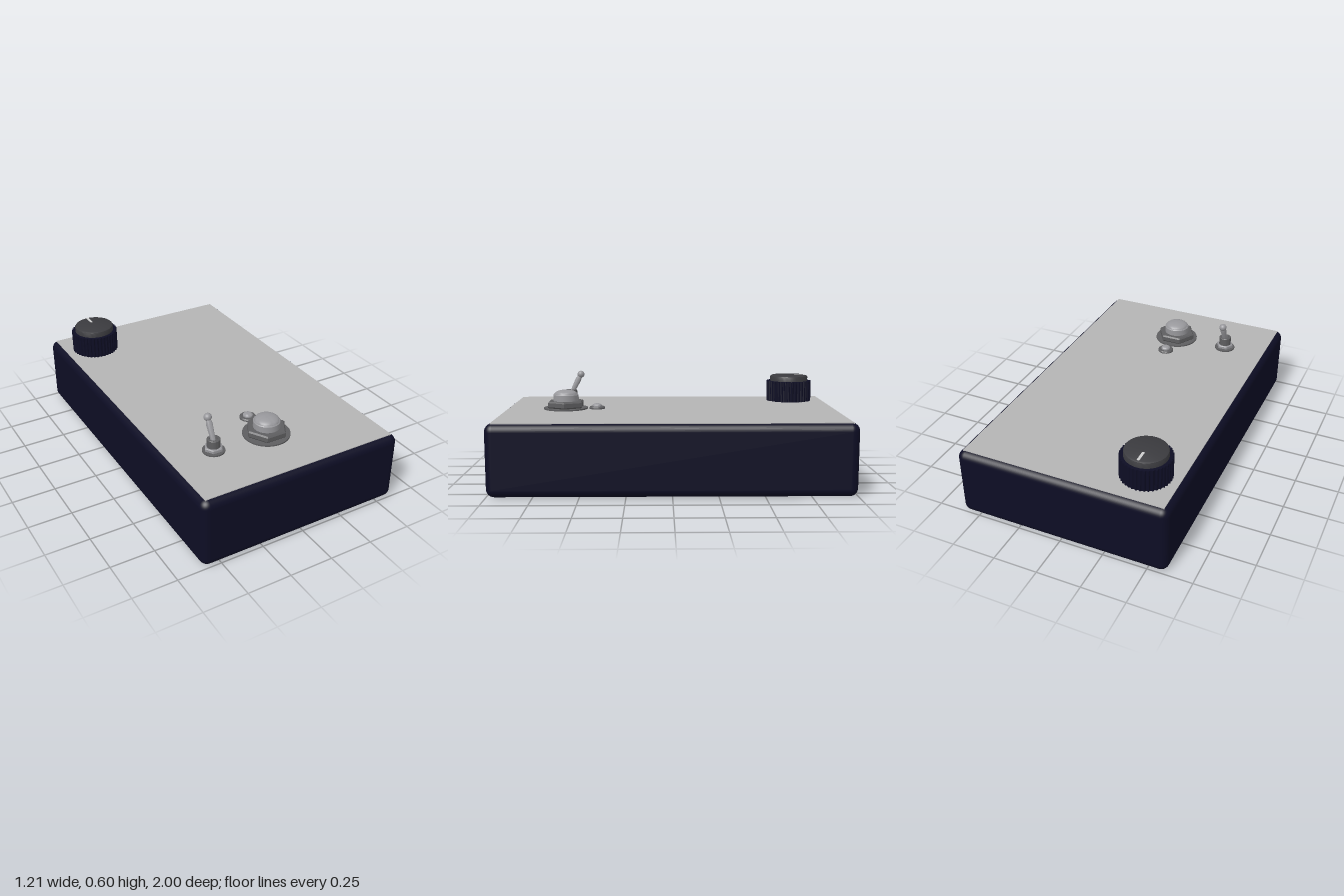
import * as THREE from 'three';
import { RoundedBoxGeometry } from 'three/addons/geometries/RoundedBoxGeometry.js';
import { toCreasedNormals } from 'three/addons/utils/BufferGeometryUtils.js';

const material = (name, color) => {
  const m = new THREE.MeshStandardMaterial({ color });
  m.name = name;
  return m;
};

export function createModel() {
  const navy = material('navy', 0x0d0d24);
  const silver = material('silver plate', 0xb4b4b4);
  const charcoal = material('charcoal', 0x3b3b3f);
  const chrome = material('chrome', 0x98989c);
  const steel = material('dark steel', 0x5e5e60);
  const white = material('pale marker', 0xcccccc);

  const root = new THREE.Group();
  root.name = 'pedal';
  const TOP = 0.4;

  const group = (name, x, z) => {
    const g = new THREE.Group();
    g.name = name;
    g.position.set(x, TOP, z);
    root.add(g);
    return g;
  };
  const add = (parent, name, geometry, mat, x = 0, y = 0, z = 0) => {
    const mesh = new THREE.Mesh(geometry, mat);
    mesh.name = name;
    mesh.position.set(x, y, z);
    parent.add(mesh);
    return mesh;
  };
  // Turned part from [radius, height] pairs, listed bottom to top
  const turned = (points, segments = 40) =>
    toCreasedNormals(new THREE.LatheGeometry(points.map(p => new THREE.Vector2(...p)), segments), 0.6);
  // Hex nut with corners on the x axis and chamfered rims
  const hexNut = (r, y0, y1, c) => {
    const g = new THREE.LatheGeometry(
      [[0, y0], [r - c, y0], [r, y0 + c], [r, y1 - c], [r - c, y1], [0, y1]].map(p => new THREE.Vector2(...p)), 6);
    g.rotateY(Math.PI / 6 * 3);
    return toCreasedNormals(g, 0.1);
  };
  // Quarter-ellipse dome profile
  const dome = (r, y0, y1, n = 8) => Array.from({ length: n + 1 }, (_, i) => {
    const a = i / n * Math.PI / 2;
    return [i === n ? 0 : r * Math.cos(a), y0 + (y1 - y0) * Math.sin(a)];
  });

  // Enclosure and face plate
  add(root, 'enclosure', new RoundedBoxGeometry(1.21, TOP, 2, 5, 0.045), navy, 0, TOP / 2, 0);
  add(root, 'facePlate', new THREE.BoxGeometry(1.15, 0.008, 1.935), silver, 0, TOP - 0.002, 0);

  // Fluted control knob
  const knob = group('controlKnob', -0.39, -0.76);
  const outline = new THREE.Shape();
  const flutes = 40;
  for (let i = 0; i < flutes * 4; i++) {
    const a = i / (flutes * 4) * Math.PI * 2;
    const r = i % 4 < 2 ? 0.14 : 0.134;
    outline[i ? 'lineTo' : 'moveTo'](r * Math.cos(a), r * Math.sin(a));
  }
  const skirt = new THREE.ExtrudeGeometry(outline, { depth: 0.128, bevelEnabled: false });
  skirt.rotateX(-Math.PI / 2);
  add(knob, 'knobSkirt', skirt, navy);
  add(knob, 'knobCap', turned([[0.118, 0.12], [0.118, 0.152], [0.115, 0.159], [0.107, 0.163], [0, 0.163]], 48), charcoal);
  add(knob, 'knobPointer', new THREE.BoxGeometry(0.014, 0.006, 0.07), white, 0, 0.163, -0.07);

  // Foot switch
  const foot = group('footSwitch', 0, 0.625);
  add(foot, 'footWasher', turned([[0, 0], [0.13, 0], [0.13, 0.01], [0, 0.01]], 48), steel);
  add(foot, 'footNut', hexNut(0.115, 0.01, 0.05, 0.008), steel);
  add(foot, 'footCollar', turned([[0.074, 0.045], [0.074, 0.085], [0.07, 0.09], [0, 0.09]]), chrome);
  add(foot, 'footButton', turned([[0.069, 0.085], ...dome(0.069, 0.088, 0.115)]), chrome);

  // Toggle switch
  const toggle = group('toggleSwitch', -0.328, 0.625);
  add(toggle, 'toggleWasher', turned([[0, 0], [0.061, 0], [0.061, 0.01], [0, 0.01]]), steel);
  add(toggle, 'toggleNut', hexNut(0.052, 0.01, 0.032, 0.004), chrome);
  add(toggle, 'toggleBushing',
    turned([[0.036, 0.03], [0.036, 0.076], [0.033, 0.079], [0.022, 0.079], [0.018, 0.068], [0, 0.068]]), steel);
  const lever = add(toggle, 'toggleLever',
    turned([[0, 0], [0.013, 0], [0.018, 0.09], [0.014, 0.11], [0, 0.11]], 24), chrome, 0, 0.062, -0.004);
  lever.rotation.x = -0.47;
  add(lever, 'toggleTip', new THREE.SphereGeometry(0.022, 24, 16), chrome, 0, 0.127, 0);

  // Indicator lamp
  const lamp = group('indicatorLamp', 0, 0.44);
  add(lamp, 'lampBezel', turned([[0.047, 0], [0.047, 0.009], [0.042, 0.015], [0, 0.015]]), steel);
  add(lamp, 'lampLens', turned([[0.028, 0.012], ...dome(0.028, 0.02, 0.034)], 32), chrome);

  return root;
}
